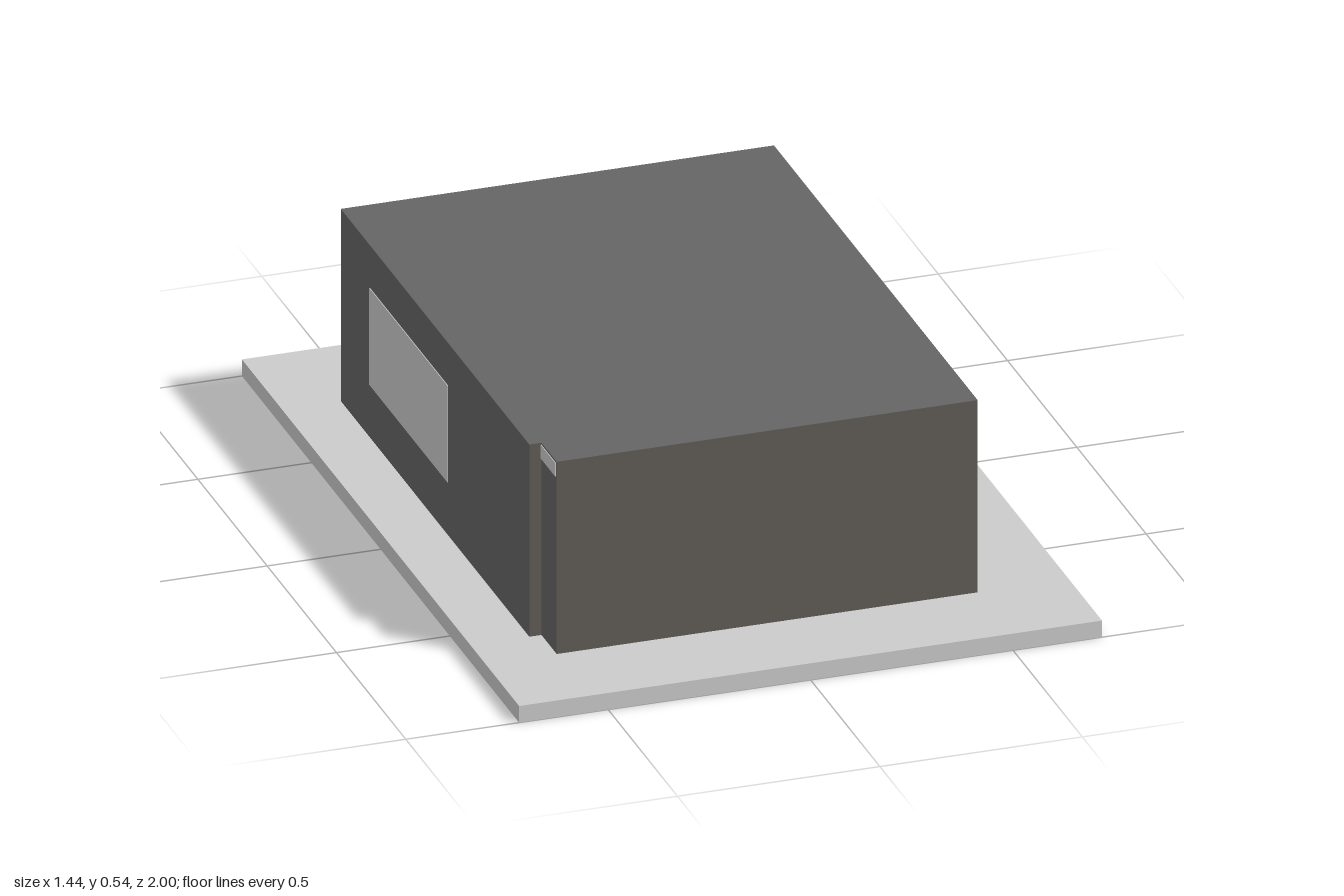
import * as THREE from 'three';

const mat = (color) => new THREE.MeshStandardMaterial({ color });

// Box given by its minimum and maximum corners
function block(name, min, max, material) {
  const size = max.map((v, i) => v - min[i]);
  const mesh = new THREE.Mesh(new THREE.BoxGeometry(...size), material);
  mesh.position.set(...max.map((v, i) => (v + min[i]) / 2));
  mesh.name = name;
  return mesh;
}

export function createModel() {
  const group = new THREE.Group();
  group.name = 'building';
  const pale = mat(0xcccccc);
  const dark = mat(0x656565);
  const warm = mat(0x605c57);

  // Ground slab
  group.add(block('baseSlab', [-0.72, 0, -1], [0.72, 0.043, 1], pale));

  // Main volume: warm walls, neutral roof and right side
  group.add(block('mainBody', [-0.545, 0.043, -0.71], [0.495, 0.54, 0.76],
    [warm, dark, dark, dark, warm, warm]));

  // Thicker side wall stopping short of the front, leaving a corner recess
  group.add(block('sideWall', [-0.575, 0.043, -0.71], [-0.545, 0.54, 0.65],
    [dark, dark, dark, dark, warm, warm]));

  // Wide window in the side wall
  group.add(block('sideWindow', [-0.577, 0.18, -0.5], [-0.57, 0.43, 0.065], pale));

  // Pale strip above the corner recess
  group.add(block('recessLintel', [-0.547, 0.5, 0.65], [-0.54, 0.535, 0.755], pale));

  return group;
}
